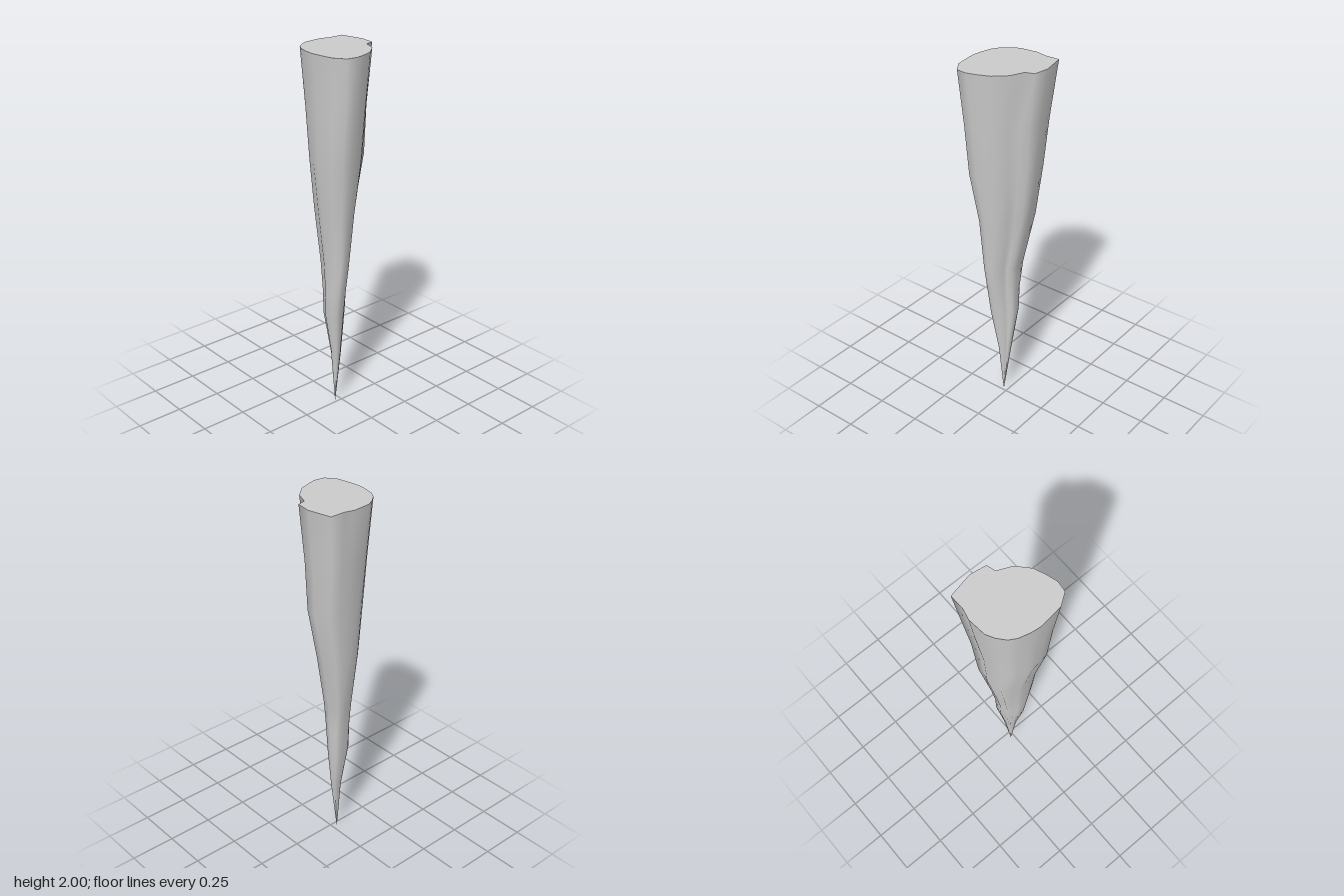
import * as THREE from 'three';

// Outline of the broken top, as x, z pairs
const OUTLINE = [
  [-0.196, -0.17], [-0.067, -0.197], [0.018, -0.184], [0.032, -0.137], [0.107, -0.105], [0.166, -0.04],
  [0.19, 0.02], [0.207, 0.077], [0.2, 0.135], [0.14, 0.177], [0.075, 0.186], [0.012, 0.193], [-0.04, 0.187],
  [-0.1, 0.171], [-0.14, 0.148], [-0.175, 0.107], [-0.198, 0.064], [-0.208, -0.034], [-0.194, -0.09],
];
// Height, then the x and z limits of each cross-section, then groove depth
const LEVELS = [
  [2, -0.208, 0.207, -0.197, 0.193, 0],
  [1.7, -0.18, 0.178, -0.165, 0.172, 0.03],
  [1.43, -0.15, 0.152, -0.15, 0.165, 0.07],
  [1.15, -0.145, 0.112, -0.105, 0.125, 0.14],
  [0.85, -0.105, 0.09, -0.05, 0.1, 0.2],
  [0.7, -0.087, 0.066, -0.04, 0.095, 0.22],
  [0.55, -0.082, 0.044, -0.037, 0.09, 0.2],
  [0.3, -0.046, 0.011, -0.01, 0.051, 0.1],
  [0, -0.021, -0.019, 0.029, 0.031, 0],
];
// How strongly each grooved outline point is drawn towards the axis
const GROOVES = { 3: 1, 4: 0.7, 13: 0.6, 16: 0.5 };

function geometry(positions, indices) {
  const g = new THREE.BufferGeometry();
  g.setAttribute('position', new THREE.Float32BufferAttribute(positions, 3));
  g.setIndex(indices);
  g.computeVertexNormals();
  return g;
}

function section([y, x0, x1, z0, z1, depth]) {
  const cx = (x0 + x1) / 2, cz = (z0 + z1) / 2;
  return OUTLINE.map(([x, z], i) => {
    const k = 1 - depth * (GROOVES[i] || 0);
    const u = x / 0.2075, v = (z + 0.002) / 0.195;
    return [cx + u * k * (x1 - x0) / 2, y, cz + v * k * (z1 - z0) / 2];
  });
}

export function createModel() {
  const group = new THREE.Group();
  group.name = 'icicle';
  const material = new THREE.MeshStandardMaterial({ color: 0xcccccc });
  const n = OUTLINE.length;
  const rings = LEVELS.map(section);

  // Tapering grooved spike
  const sideIndices = [];
  for (let r = 0; r < rings.length - 1; r++) {
    for (let i = 0; i < n; i++) {
      const j = (i + 1) % n;
      const t0 = r * n + i, t1 = r * n + j, b0 = t0 + n, b1 = t1 + n;
      sideIndices.push(b0, t0, b1, b1, t0, t1);
    }
  }
  const spike = new THREE.Mesh(geometry(rings.flat(2), sideIndices), material);
  spike.name = 'spike';

  // Flat top
  const capIndices = [];
  for (let i = 0; i < n; i++) capIndices.push(n, (i + 1) % n, i);
  const cap = new THREE.Mesh(geometry([...rings[0].flat(), 0, 2, 0], capIndices), material);
  cap.name = 'topFace';

  group.add(spike, cap);
  return group;
}
